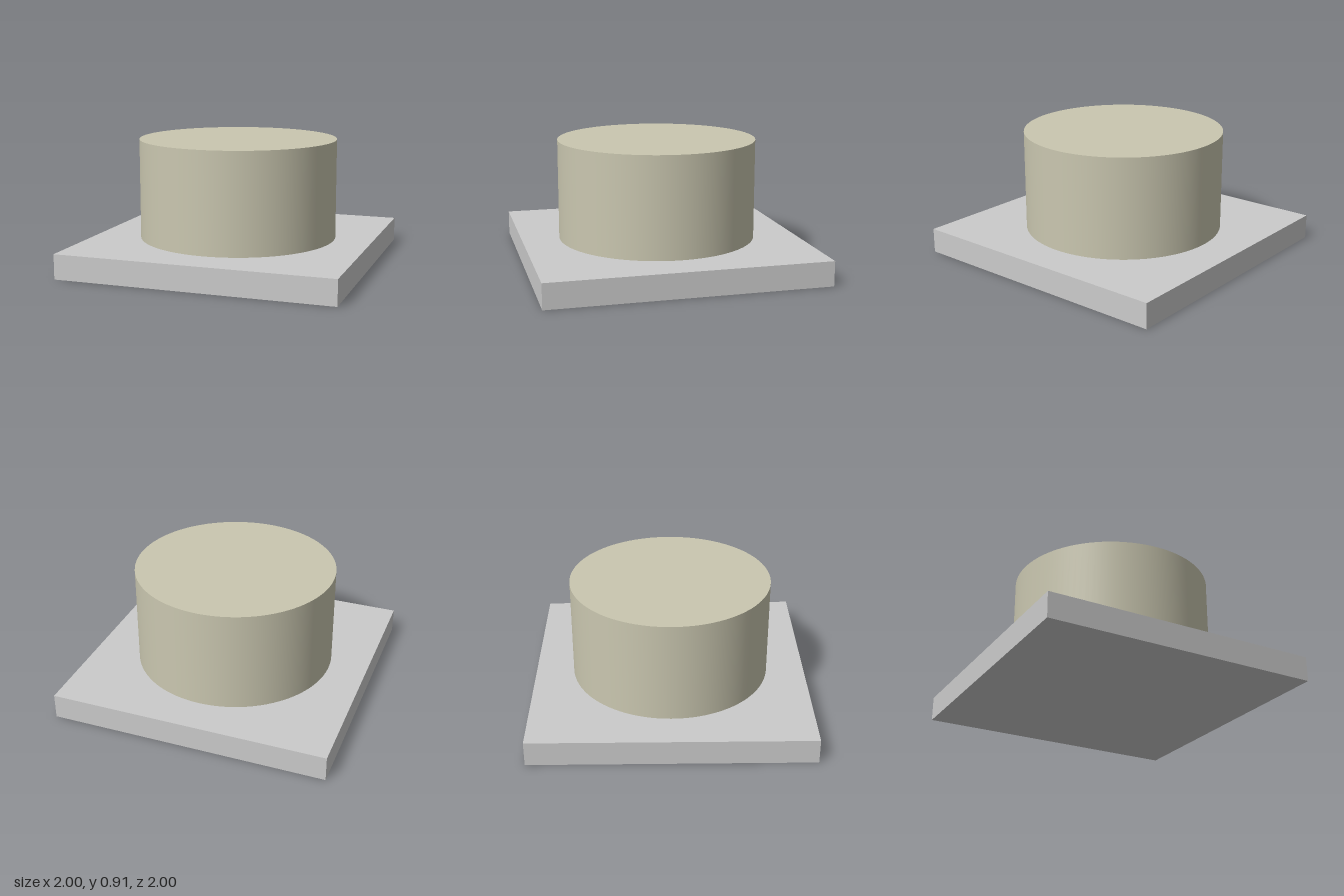
import * as THREE from 'three';

export function createModel() {
  const group = new THREE.Group();
  const grey = new THREE.MeshStandardMaterial({ color: 0xcccccc });
  const cream = new THREE.MeshStandardMaterial({ color: 0xcac7b0 });

  function add(name, geometry, material, x, y, z) {
    const mesh = new THREE.Mesh(geometry, material);
    mesh.name = name;
    mesh.position.set(x, y, z);
    group.add(mesh);
    return mesh;
  }

  const boardHeight = 0.18;
  const cakeHeight = 0.73;

  // Square board under the cake
  add('board', new THREE.BoxGeometry(2, boardHeight, 2), grey, 0, boardHeight / 2, 0);

  // Round cake
  add('cake', new THREE.CylinderGeometry(0.725, 0.725, cakeHeight, 96), cream,
    0, boardHeight + cakeHeight / 2, 0);

  // Blank label lying on the front corner of the board
  const label = add('label', new THREE.PlaneGeometry(0.48, 0.24), grey,
    -0.70, boardHeight + 0.002, 0.815);
  label.rotation.x = -Math.PI / 2;

  return group;
}
